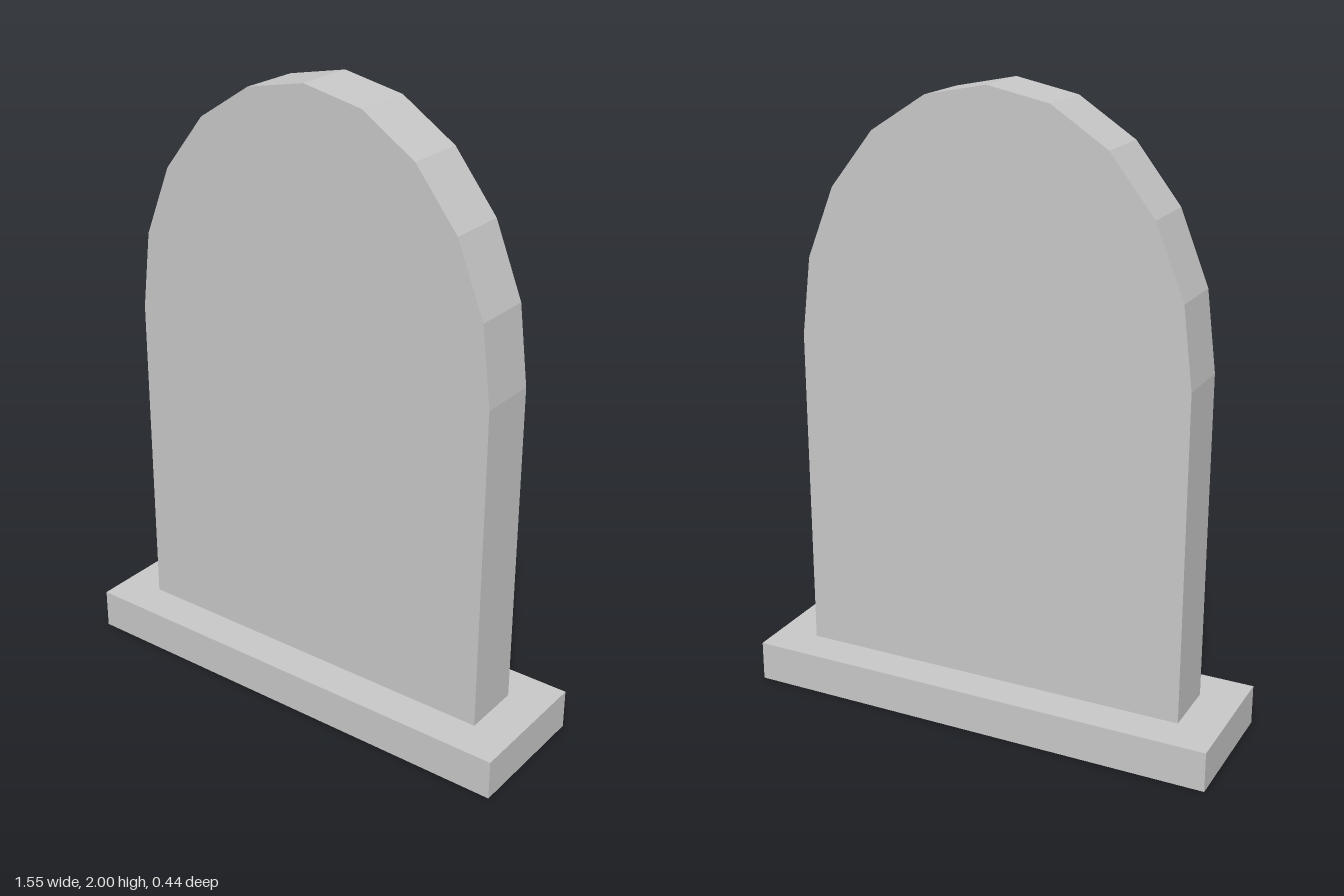
import * as THREE from 'three';

export function createModel() {
  const group = new THREE.Group();
  const stone = new THREE.MeshStandardMaterial({ color: 0xc7c7c7 });
  stone.name = 'light grey stone';

  // Plinth
  const baseHeight = 0.13;
  const base = new THREE.Mesh(new THREE.BoxGeometry(1.553, baseHeight, 0.444), stone);
  base.name = 'base';
  base.position.y = baseHeight / 2;
  group.add(base);

  // Upright slab with a ten-sided half-ellipse top
  const halfWidth = 0.643, springY = 1.185, rise = 0.815, depth = 0.197, segments = 10;
  const outline = [new THREE.Vector2(-halfWidth, baseHeight), new THREE.Vector2(halfWidth, baseHeight)];
  for (let i = 0; i <= segments; i++) {
    const a = (i / segments) * Math.PI;
    outline.push(new THREE.Vector2(halfWidth * Math.cos(a), springY + rise * Math.sin(a)));
  }
  const slabGeometry = new THREE.ExtrudeGeometry(new THREE.Shape(outline), { depth, bevelEnabled: false });
  slabGeometry.translate(0, 0, -depth / 2);
  const slab = new THREE.Mesh(slabGeometry, stone);
  slab.name = 'headstone';
  group.add(slab);

  return group;
}
